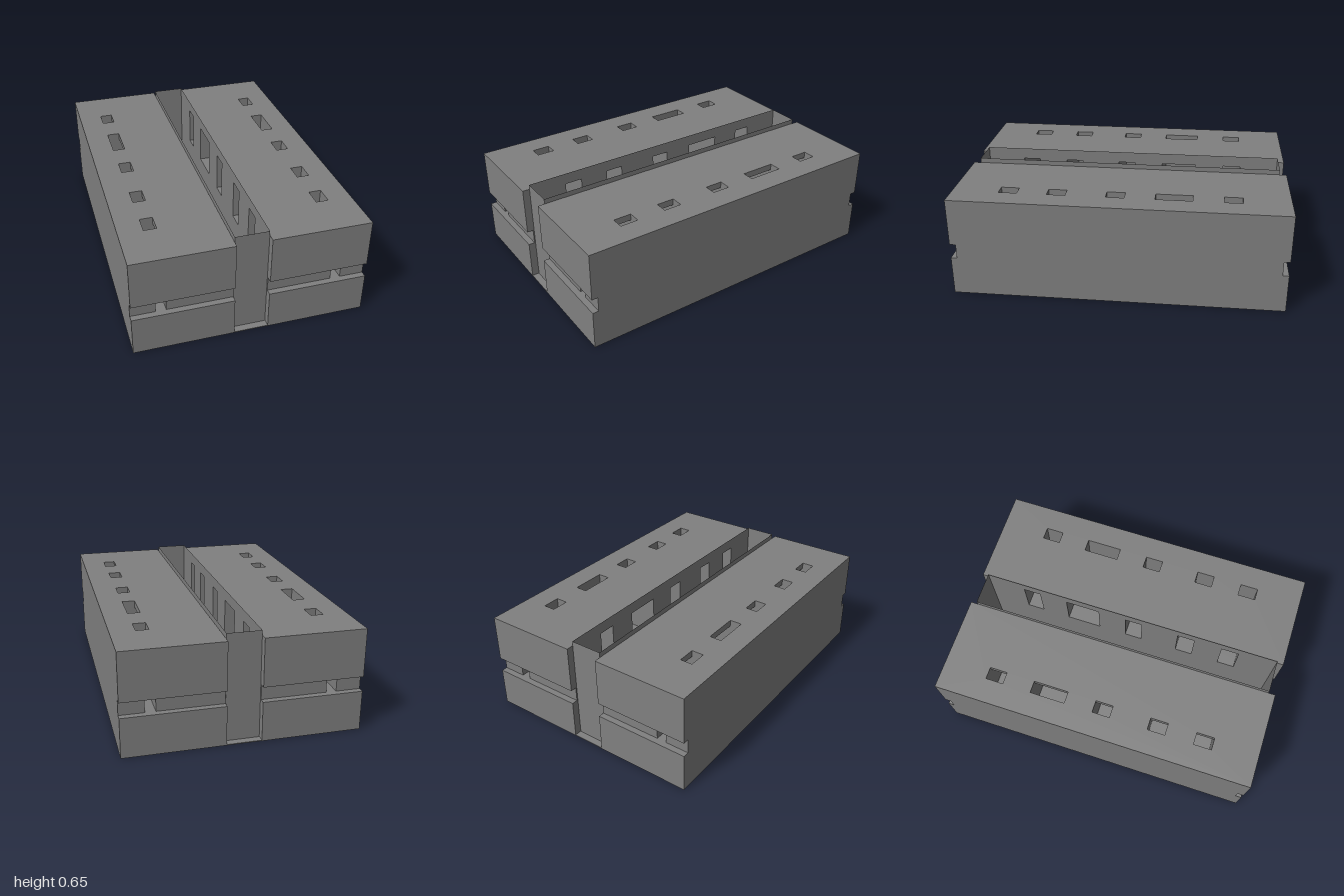
import * as THREE from 'three';

const grey = new THREE.MeshStandardMaterial({ color: 0x808080 });
grey.name = 'grey';
const greySheet = new THREE.MeshStandardMaterial({ color: 0x808080, side: THREE.DoubleSide });
greySheet.name = 'greySheet';

// z ranges of the roof shafts and the passages that lead to them
const BAYS = [[-0.72, -0.61], [-0.43, -0.21], [-0.03, 0.08], [0.32, 0.43], [0.61, 0.72]];
const IN = 0.102, OUT = 0.695, SHAFT_IN = 0.475, SHAFT_OUT = 0.55;
const WALL = 0.1, END = 0.957, GROOVE = 0.963;
const GROOVE_LOW = 0.24, GROOVE_HIGH = 0.33, ROOF_LOW = 0.58, ROOF = 0.62, WALL_TOP = 0.65;

function box(group, name, x0, x1, y0, y1, z0, z1) {
  const mesh = new THREE.Mesh(new THREE.BoxGeometry(x1 - x0, y1 - y0, z1 - z0), grey);
  mesh.position.set((x0 + x1) / 2, (y0 + y1) / 2, (z0 + z1) / 2);
  mesh.name = name;
  group.add(mesh);
}

function rect(path, a0, a1, b0, b1) {
  path.moveTo(a0, b0).lineTo(a1, b0).lineTo(a1, b1).lineTo(a0, b1).closePath();
  return path;
}

// One side block; the other one is the same turned by mirrored x ranges
function sideBlock(side) {
  const g = new THREE.Group();
  g.name = side > 0 ? 'leftBlock' : 'rightBlock';
  const add = (name, a, b, ...rest) =>
    side > 0 ? box(g, name, a, b, ...rest) : box(g, name, -b, -a, ...rest);

  add('base', IN, OUT, 0, GROOVE_LOW, -1, 1);

  // recessed layer behind the end grooves, split by the long tunnel
  add('innerGrooveWall', IN, 0.49, GROOVE_LOW, GROOVE_HIGH, -GROOVE, GROOVE);
  add('outerGrooveWall', SHAFT_OUT, OUT, GROOVE_LOW, GROOVE_HIGH, -GROOVE, GROOVE);

  // upper layer: outer wall and solid piers between the passages
  add('outerWall', SHAFT_OUT, OUT, GROOVE_HIGH, ROOF_LOW, -1, 1);
  const cuts = [-1, ...BAYS.flat(), 1];
  for (let i = 0; i < cuts.length; i += 2) {
    add('pier', IN, SHAFT_OUT, GROOVE_HIGH, ROOF_LOW, cuts[i], cuts[i + 1]);
  }

  // roof slab with shaft openings, drawn flat and laid down
  const xr = (a, b) => (side > 0 ? [a, b] : [-b, -a]);
  const plan = rect(new THREE.Shape(), ...xr(IN, OUT), -1, 1);
  for (const [z0, z1] of BAYS) {
    plan.holes.push(rect(new THREE.Path(), ...xr(SHAFT_IN, SHAFT_OUT), -z1, -z0));
  }
  const slab = new THREE.ExtrudeGeometry(plan, { depth: ROOF - ROOF_LOW, bevelEnabled: false });
  slab.rotateX(-Math.PI / 2).translate(0, ROOF_LOW, 0);
  const roof = new THREE.Mesh(slab, grey);
  roof.name = 'roof';
  g.add(roof);
  return g;
}

// Thin corridor wall with doorways into the passages
function corridorWall(side) {
  const shape = rect(new THREE.Shape(), -END, END, 0, WALL_TOP);
  for (const [z0, z1] of BAYS) {
    shape.holes.push(rect(new THREE.Path(), -z1, -z0, GROOVE_HIGH, ROOF_LOW));
  }
  const mesh = new THREE.Mesh(new THREE.ShapeGeometry(shape).rotateY(Math.PI / 2), greySheet);
  mesh.position.x = side * WALL;
  mesh.name = 'corridorWall';
  return mesh;
}

export function createModel() {
  const model = new THREE.Group();
  model.name = 'block';
  for (const side of [1, -1]) {
    model.add(sideBlock(side), corridorWall(side));
    // end plate closing the open-topped corridor
    const plate = new THREE.Mesh(new THREE.PlaneGeometry(2 * WALL, WALL_TOP), greySheet);
    plate.position.set(0, WALL_TOP / 2, side * END);
    plate.name = 'endPlate';
    model.add(plate);
  }
  box(model, 'corridorFloor', -IN, IN, 0, 0.005, -1, 1);
  return model;
}
